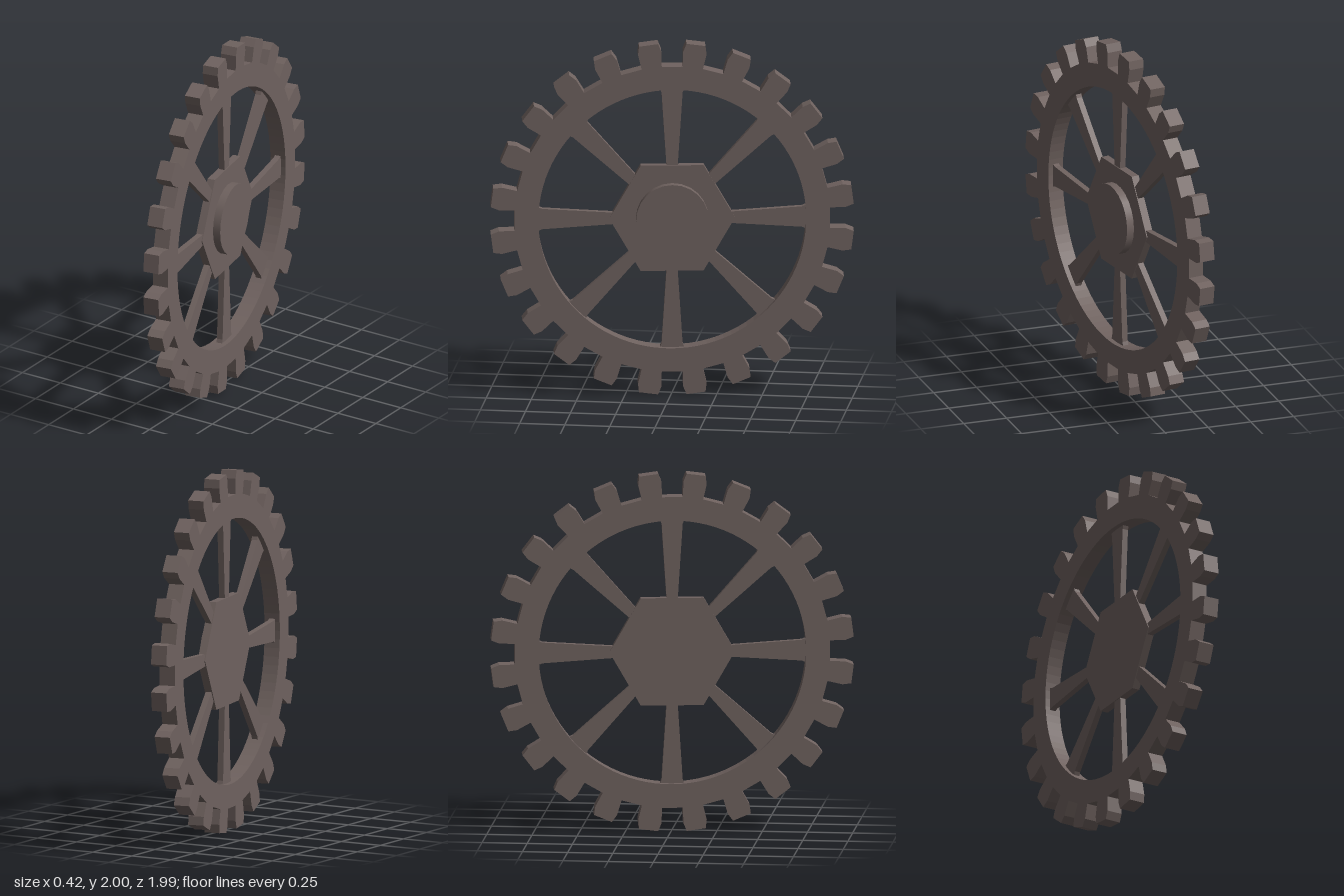
import * as THREE from 'three';

const TEETH = 24, SPOKES = 8;

// Point at radius r along angle a, shifted sideways by s
function polar(a, r, s = 0) {
  return new THREE.Vector2(Math.cos(a) * r - Math.sin(a) * s, Math.sin(a) * r + Math.cos(a) * s);
}

// Extrude a flat shape between two depths along the wheel axis
function plate(shape, back, front) {
  const geo = new THREE.ExtrudeGeometry(shape, { depth: front - back, bevelEnabled: false, curveSegments: 48 });
  return geo.translate(0, 0, back);
}

export function createModel() {
  const iron = new THREE.MeshStandardMaterial({ color: 0x6f625f });
  iron.name = 'dull brown iron';

  const wheel = new THREE.Group();
  wheel.name = 'gearWheel';
  const add = (name, geo) => {
    const mesh = new THREE.Mesh(geo, iron);
    mesh.name = name;
    wheel.add(mesh);
    return mesh;
  };

  // Toothed rim: half width of each tooth at root, shoulder and tip
  const tooth = [[0.87, -0.056], [0.955, -0.065], [1.002, -0.053], [1.002, 0.053], [0.955, 0.065], [0.87, 0.056]];
  const outline = [];
  for (let i = 0; i < TEETH; i++) {
    const a = ((i + 0.5) / TEETH) * Math.PI * 2;
    for (const [r, s] of tooth) outline.push(polar(a, r, s));
  }
  const rim = new THREE.Shape(outline);
  rim.holes.push(new THREE.Path().absarc(0, 0, 0.738, 0, Math.PI * 2, true));
  add('toothedRim', plate(rim, -0.045, 0.045));

  // Spokes widen towards the rim, with a small flare where they meet it
  const spoke = new THREE.Shape([
    polar(0, 0.25, -0.028), polar(0, 0.715, -0.058), polar(0, 0.745, -0.07),
    polar(0, 0.745, 0.07), polar(0, 0.715, 0.058), polar(0, 0.25, 0.028),
  ]);
  const spokeGeo = plate(spoke, -0.017, 0.017);
  for (let i = 0; i < SPOKES; i++) {
    add('spoke' + (i + 1), spokeGeo).rotation.z = (i / SPOKES) * Math.PI * 2;
  }

  // Hexagonal hub
  const hex = [];
  for (let i = 0; i < 6; i++) hex.push(polar((i * Math.PI) / 3, 0.347));
  add('hexHub', plate(new THREE.Shape(hex), -0.022, 0.022));

  // Round boss on one side only
  const boss = new THREE.CylinderGeometry(0.2, 0.2, 0.055, 24);
  boss.rotateX(Math.PI / 2).translate(0, 0, 0.0375);
  add('hubBoss', boss);

  // Stand the wheel up, its axis slightly turned from x
  wheel.rotation.y = Math.PI / 2 + 0.164;
  wheel.position.y = 1;

  const model = new THREE.Group();
  model.name = 'gear';
  model.add(wheel);
  return model;
}
